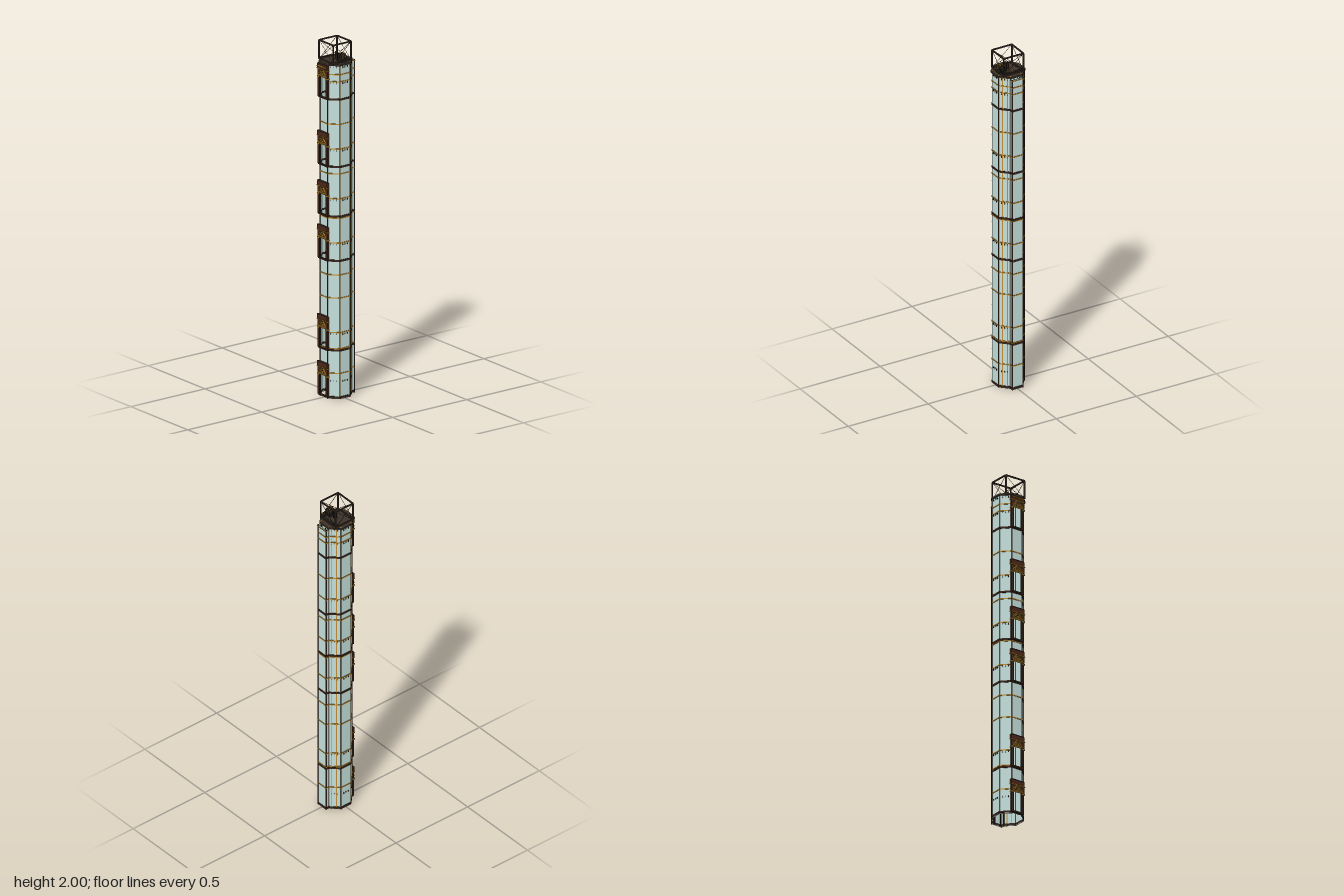
import * as THREE from 'three';

const mat = (name, color) => Object.assign(new THREE.MeshStandardMaterial({ color }), { name });
const glass = mat('pale glass', 0xc4dfda);
const iron = mat('dark iron', 0x38241b);
const roofMetal = mat('roof metal', 0x3c3229);
const wood = mat('door wood', 0x4a2718);
const gold = mat('brass', 0xbf8a30);
const black = mat('machine black', 0x221e1a);

const A = 0.08, BACK = 0.098, T = Math.tan(Math.PI / 8);
const FLOORS = [0.01, 0.275, 0.78, 1.03, 1.31, 1.69];
const TOP = 1.88, DOOR = 0.125;

export function createModel() {
  const root = new THREE.Group();
  root.name = 'elevatorTower';

  const add = (parent, name, geo, m, x = 0, y = 0, z = 0) => {
    const mesh = new THREE.Mesh(geo, m);
    mesh.name = name;
    mesh.position.set(x, y, z);
    parent.add(mesh);
    return mesh;
  };
  const box = (p, name, w, h, d, m, x, y, z) => add(p, name, new THREE.BoxGeometry(w, h, d), m, x, y, z);
  // Rectangular bar between two points
  const beam = (p, name, a, b, w, h, m) => {
    const s = new THREE.Vector3(...a), e = new THREE.Vector3(...b);
    const dir = e.clone().sub(s), len = dir.length();
    const mesh = add(p, name, new THREE.BoxGeometry(w, h, len), m);
    mesh.position.copy(s).add(e).multiplyScalar(0.5);
    mesh.quaternion.setFromUnitVectors(new THREE.Vector3(0, 0, 1), dir.normalize());
    return mesh;
  };
  const group = (name) => {
    const g = new THREE.Group();
    g.name = name;
    root.add(g);
    return g;
  };

  // Plan: octagon with a square service bay at the back; first edge is the door side
  const plan = (o) => {
    const a = A + o, h = a * T, b = BACK + o;
    return [[-h, a], [h, a], [a, h], [a, -h], [h, -a], [h, -b], [-h, -b], [-h, -a], [-a, -h], [-a, h]];
  };
  const inDoor = (y) => FLOORS.some((f) => y > f + 0.01 && y < f + DOOR);
  const ring = (name, y, o, w, h, m) => {
    const g = group(name), p = plan(o);
    p.forEach(([x, z], i) => {
      if (i === 0 && inDoor(y)) return;
      const [x2, z2] = p[(i + 1) % p.length];
      beam(g, name + 'Bar', [x, y, z], [x2, y, z2], w, h, m);
    });
  };

  // Glass walls; the front is left open at each doorway
  const walls = group('glassWalls'), p0 = plan(0);
  p0.forEach(([x, z], i) => {
    if (i === 0) return;
    const [x2, z2] = p0[(i + 1) % p0.length];
    beam(walls, 'wallPanel', [x, TOP / 2, z], [x2, TOP / 2, z2], 0.002, TOP, glass);
  });
  FLOORS.forEach((f, i) => {
    const y0 = f + DOOR, y1 = FLOORS[i + 1] ?? TOP;
    box(walls, 'frontPanel', 2 * A * T, y1 - y0, 0.002, glass, 0, (y0 + y1) / 2, A);
  });

  // Corner posts, slim where the front corner faces meet the sides
  const posts = group('cornerPosts');
  p0.forEach(([x, z], i) => {
    const slim = i === 2 || i === 9;
    const w = slim ? 0.003 : 0.0055;
    box(posts, 'cornerPost', w, TOP, w, slim ? gold : iron, x, TOP / 2, z);
  });
  for (const s of [-1, 1]) {
    // Brass mullions stand proud of the rear corner faces
    for (const t of [0.35, 0.75]) {
      const x = A + (A * T - A) * t + 0.001, z = -A * T + (A * T - A) * t - 0.001;
      box(posts, 'mullion', 0.005, TOP, 0.005, gold, s * x, TOP / 2, z).rotation.y = s * Math.PI / 4;
    }
    // Guide rails inside the service bay
    add(posts, 'guideRail', new THREE.CylinderGeometry(0.003, 0.003, TOP, 8), iron, s * 0.018, TOP / 2, -0.089);
  }

  // Floor bands and brass trim
  for (const y of FLOORS) ring('floorBand', y, 0.001, 0.006, 0.011, iron);
  for (const y of [0.145, 0.285, 0.375, 0.57, 0.7, 0.88, 1.02, 1.13, 1.27, 1.41, 1.55, 1.79, 1.83])
    ring('brassTrim', y, 0.0015, 0.0045, 0.006, gold);
  beam(root, 'rearRail', [-0.036, 1.873, -0.1035], [0.036, 1.873, -0.1035], 0.003, 0.004, gold);
  for (const s of [-1, 1])
    beam(root, 'rearRailEnd', [s * 0.0355, 1.873, -0.082], [s * 0.0355, 1.873, -0.103], 0.003, 0.004, gold);

  // Small lamp brackets on the side and corner faces
  const lamps = group('lampBrackets');
  for (const y of [...FLOORS.map((f) => f + 0.09), 1.87]) {
    for (const deg of [45, 90, 135, 225, 270, 315]) {
      const pivot = new THREE.Group();
      pivot.name = 'lampRow';
      pivot.rotation.y = THREE.MathUtils.degToRad(deg);
      lamps.add(pivot);
      for (const x of [-0.016, 0, 0.016]) {
        box(pivot, 'bracketArm', 0.003, 0.003, 0.005, iron, x, y + 0.004, A + 0.002);
        box(pivot, 'lamp', 0.004, 0.007, 0.004, x ? black : gold, x, y, A + 0.003);
      }
    }
  }

  // Doorways with carved headers
  const arch = new THREE.TorusGeometry(0.02, 0.003, 6, 14, Math.PI);
  for (const f of FLOORS) {
    const d = group('doorway');
    d.position.y = f;
    box(d, 'sill', 0.08, 0.008, 0.012, iron, 0, 0.002, 0.085);
    for (const s of [-1, 1]) {
      box(d, 'doorPost', 0.014, 0.13, 0.01, iron, s * 0.036, 0.065, 0.084);
      box(d, 'postEdge', 0.003, 0.13, 0.012, black, s * 0.028, 0.065, 0.085);
      box(d, 'postCapital', 0.018, 0.007, 0.014, gold, s * 0.037, 0.115, 0.086);
      box(d, 'headerShoulder', 0.012, 0.036, 0.01, wood, s * 0.037, 0.14, 0.085);
      beam(d, 'pedimentSlope', [s * 0.036, 0.128, 0.092], [s * 0.004, 0.163, 0.092], 0.004, 0.005, gold);
      for (const [x, y] of [[0.016, 0.137], [0.01, 0.146]])
        beam(d, 'fanRay', [0, 0.129, 0.091], [s * x, y, 0.091], 0.003, 0.003, gold);
      add(d, 'headerRosette', new THREE.SphereGeometry(0.004, 8, 6), gold, s * 0.038, 0.16, 0.091);
    }
    box(d, 'headerPanel', 0.064, 0.036, 0.008, iron, 0, 0.14, 0.084);
    box(d, 'headerBoard', 0.088, 0.03, 0.012, wood, 0, 0.174, 0.086);
    box(d, 'headerCap', 0.078, 0.004, 0.014, iron, 0, 0.188, 0.087);
    box(d, 'headerMoulding', 0.094, 0.003, 0.014, gold, 0, 0.16, 0.086);
    box(d, 'headerLedge', 0.068, 0.006, 0.018, gold, 0, 0.124, 0.09);
    add(d, 'fanArch', arch, gold, 0, 0.129, 0.091);
    add(d, 'fanBoss', new THREE.SphereGeometry(0.006, 10, 8), gold, 0, 0.133, 0.091);
  }
  box(root, 'topDoorLedge', 0.07, 0.004, 0.016, gold, 0, 1.866, 0.095);

  // Roof plate with brass studs
  const R = 0.088 / Math.cos(Math.PI / 8);
  const plate = new THREE.CylinderGeometry(R, R, 0.01, 8).toNonIndexed();
  plate.computeVertexNormals();
  add(root, 'roofPlate', plate, roofMetal, 0, 1.885, 0.002).rotation.y = Math.PI / 8;
  const stud = new THREE.CylinderGeometry(0.004, 0.004, 0.004, 8);
  for (const s of [-1, 1]) for (const t of [-1, 1]) {
    add(root, 'roofStud', stud, gold, s * 0.08, 1.891, t * 0.033 + 0.001);
    add(root, 'roofStud', stud, gold, s * 0.033, 1.891, t * 0.08 + 0.001);
  }

  // Open machine frame with crossed braces
  const frame = group('machineFrame');
  const y0 = 1.89, y1 = 1.9965, X = 0.062, c = [[-X, 0.065], [X, 0.065], [X, -0.056], [-X, -0.056]];
  c.forEach(([x, z], i) => {
    const [x2, z2] = c[(i + 1) % 4];
    box(frame, 'framePost', 0.007, y1 - y0, 0.007, roofMetal, x, (y0 + y1) / 2, z);
    beam(frame, 'topRail', [x, y1, z], [x2, y1, z2], 0.007, 0.007, roofMetal);
    beam(frame, 'baseRail', [x, y0 + 0.003, z], [x2, y0 + 0.003, z2], 0.006, 0.006, roofMetal);
    beam(frame, 'brace', [x, y0, z], [x2, y1, z2], 0.0018, 0.0018, black);
    beam(frame, 'brace', [x, y1, z], [x2, y0, z2], 0.0018, 0.0018, black);
  });
  box(frame, 'crossBeam', 0.12, 0.006, 0.007, roofMetal, 0, 1.897, -0.044);

  // Winch: motor, ribs, pulley and rope post
  const winch = group('winch');
  box(winch, 'motorBase', 0.038, 0.012, 0.036, black, 0.05, 1.896, -0.003);
  const motor = add(winch, 'motor', new THREE.CylinderGeometry(0.018, 0.018, 0.034, 16), black, 0.05, 1.92, -0.003);
  motor.rotation.x = Math.PI / 2;
  for (const z of [-0.014, -0.003, 0.008])
    add(winch, 'motorRib', new THREE.TorusGeometry(0.018, 0.0013, 6, 18), gold, 0.05, 1.92, z);
  for (const x of [-0.008, 0, 0.008])
    box(winch, 'motorStrap', 0.0018, 0.004, 0.026, gold, 0.05 + x, 1.937, -0.003);
  add(winch, 'ropePost', new THREE.CylinderGeometry(0.004, 0.004, 0.045, 8), roofMetal, 0, 1.912, 0.001);
  add(winch, 'ropeCollar', new THREE.TorusGeometry(0.007, 0.0014, 6, 16), gold, 0, 1.893, 0.001).rotation.x = Math.PI / 2;
  box(winch, 'controlPost', 0.005, 0.04, 0.01, black, 0.014, 1.91, -0.004);
  add(winch, 'rearStud', stud, gold, 0, 1.901, -0.044);

  return root;
}
